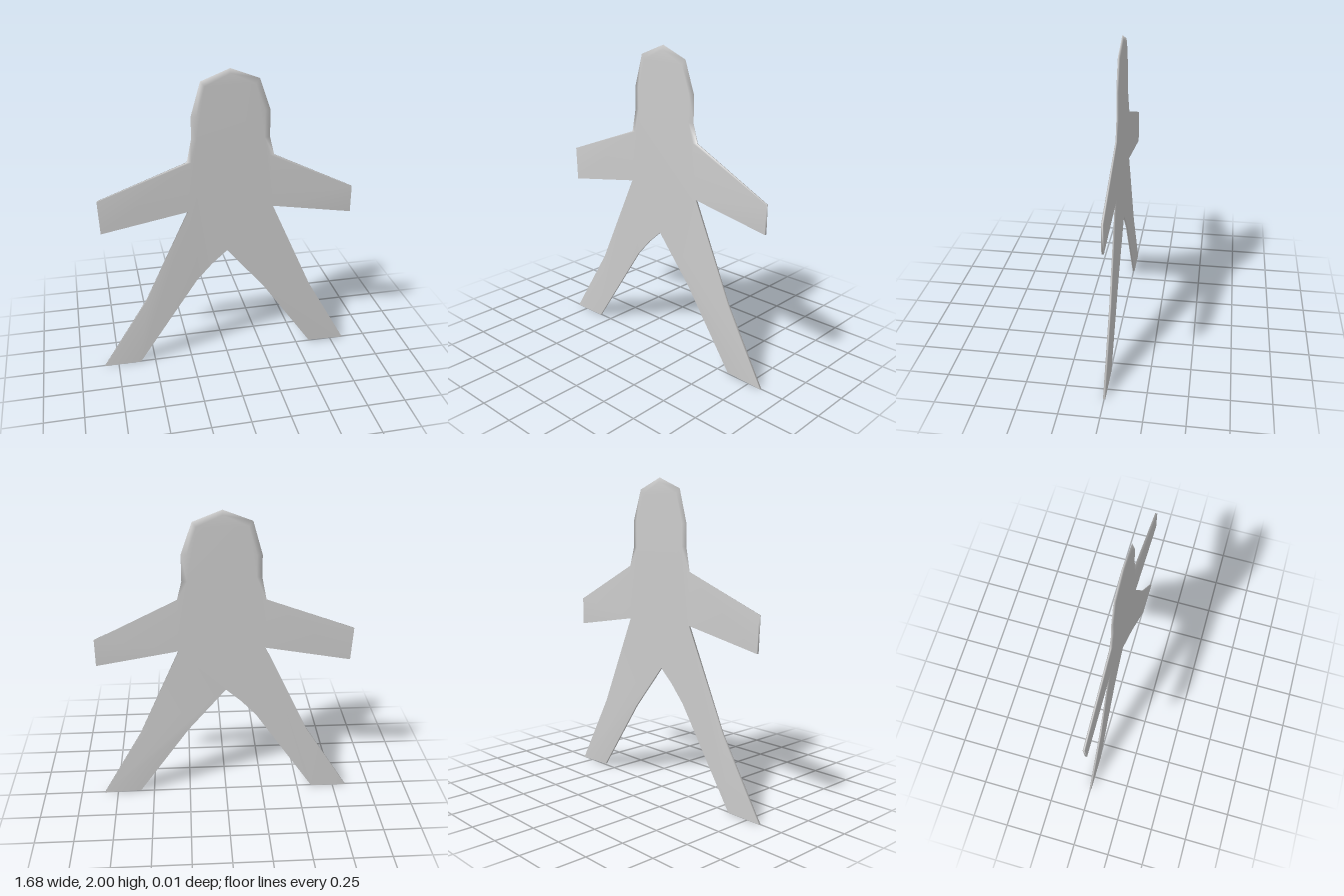
import * as THREE from 'three';

// Outline of the flat figure, counter-clockwise seen from the front
const outline = [
  [0, 0.80], [0.25, 0.50], [0.59, 0.01], [0.84, 0],              // left leg, inner side and foot
  [0.57, 0.48], [0.30, 1.09], [0.825, 1.00], [0.825, 1.18],      // left leg outside, left arm
  [0.30, 1.44], [0.27, 1.56], [0.27, 1.73], [0.20, 1.93],        // left shoulder and head
  [0.02, 2.0], [-0.16, 1.93], [-0.22, 1.72], [-0.22, 1.58],      // crown and right of head
  [-0.25, 1.43], [-0.81, 1.22], [-0.80, 1.00], [-0.25, 1.10],    // right shoulder and arm
  [-0.54, 0.48], [-0.84, 0], [-0.60, 0], [-0.20, 0.60], [-0.10, 0.71], // right leg
];
const half = 0.007;

// Head points draw inwards on the faces, giving the head a bevelled edge
function facePoint([x, y], shoulderScale) {
  if (y < 1.4) return [x, y];
  const scale = y < 1.5 ? shoulderScale : 0.86;
  return [0.02 + (x - 0.02) * scale, y > 1.9 ? y - 0.03 : y];
}

function figureGeometry() {
  const n = outline.length;
  const rings = [
    outline.map(p => [...facePoint(p, 0.9), half]),
    outline.map(p => [...p, 0]),
    outline.map(p => [...facePoint(p, 1), -half]),
  ];
  const index = [];
  const cap = (r, flip) => {
    const pts = rings[r].map(p => new THREE.Vector2(p[0], p[1]));
    for (const [a, b, c] of THREE.ShapeUtils.triangulateShape(pts, [])) {
      const o = r * n;
      index.push(o + a, o + (flip ? c : b), o + (flip ? b : c));
    }
  };
  cap(0, false);
  cap(2, true);
  // Edge strips from front face to rim and rim to back face
  for (let r = 0; r < 2; r++) {
    for (let i = 0; i < n; i++) {
      const j = (i + 1) % n;
      const a = r * n + i, b = r * n + j;
      index.push(a, a + n, b, b, a + n, b + n);
    }
  }
  const geometry = new THREE.BufferGeometry();
  geometry.setAttribute('position', new THREE.Float32BufferAttribute(rings.flat(2), 3));
  geometry.setIndex(index);
  geometry.computeVertexNormals();
  return geometry;
}

export function createModel() {
  const group = new THREE.Group();
  group.name = 'flatFigure';
  const material = new THREE.MeshStandardMaterial({ color: 0xcccccc });
  const body = new THREE.Mesh(figureGeometry(), material);
  body.name = 'body';
  group.add(body);
  return group;
}
